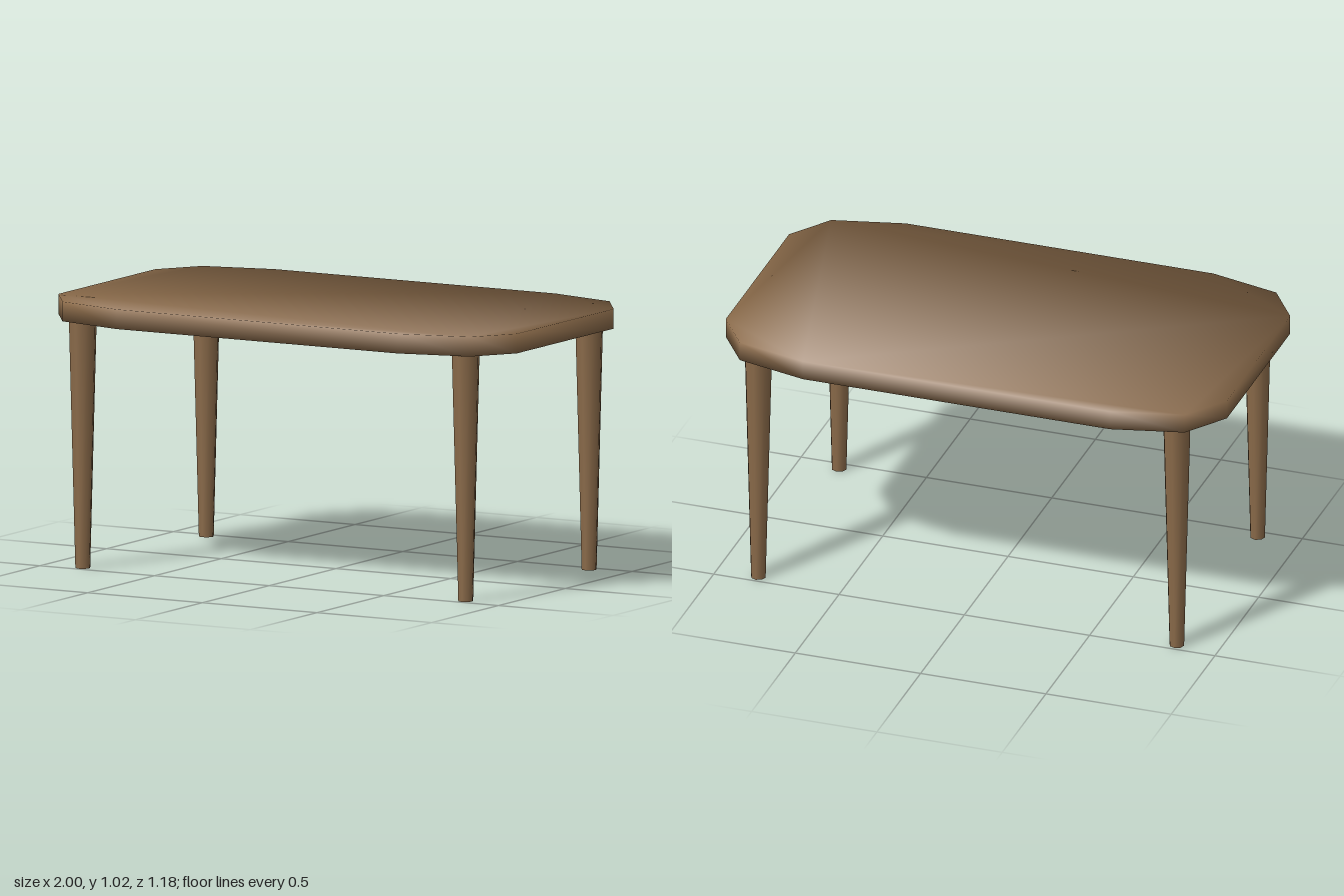
import * as THREE from 'three';
import { mergeVertices } from 'three/addons/utils/BufferGeometryUtils.js';

const LEG_HEIGHT = 0.943;
const TOP_THICKNESS = 0.075;

// Welds the corners and blends the face normals by corner angle, so shading rolls over the rim
function softShade(source) {
  source.deleteAttribute('uv');
  source.deleteAttribute('normal');
  const geo = mergeVertices(source, 1e-4);
  const pos = geo.attributes.position;
  const sums = Array.from({ length: pos.count }, () => new THREE.Vector3());
  const at = (i) => new THREE.Vector3().fromBufferAttribute(pos, i);
  for (let f = 0; f < geo.index.count; f += 3) {
    const ids = [0, 1, 2].map((k) => geo.index.getX(f + k));
    const pts = ids.map(at);
    const normal = new THREE.Triangle(...pts).getNormal(new THREE.Vector3());
    ids.forEach((id, k) => {
      const a = pts[(k + 1) % 3].clone().sub(pts[k]);
      const b = pts[(k + 2) % 3].clone().sub(pts[k]);
      sums[id].addScaledVector(normal, a.angleTo(b));
    });
  }
  const normals = sums.flatMap((n) => n.normalize().toArray());
  geo.setAttribute('normal', new THREE.Float32BufferAttribute(normals, 3));
  return geo;
}

export function createModel() {
  const group = new THREE.Group();
  group.name = 'table';
  const wood = new THREE.MeshStandardMaterial({ color: 0x8b6b4a });

  // Tabletop: one rounded corner, mirrored to all four
  const corner = [[1, 0.362], [0.888, 0.523], [0.613, 0.59]];
  const back = [...corner].reverse();
  const outline = [
    ...corner,
    ...back.map(([x, z]) => [-x, z]),
    ...corner.map(([x, z]) => [-x, -z]),
    ...back.map(([x, z]) => [x, -z]),
  ].map(([x, z]) => new THREE.Vector2(x, z));
  const slab = new THREE.ExtrudeGeometry(new THREE.Shape(outline), {
    depth: TOP_THICKNESS,
    bevelEnabled: false,
  });
  slab.rotateX(-Math.PI / 2);
  const top = new THREE.Mesh(softShade(slab), wood);
  top.name = 'tabletop';
  top.position.y = LEG_HEIGHT;
  group.add(top);

  // Four tapered legs
  const legGeo = new THREE.CylinderGeometry(0.054, 0.029, LEG_HEIGHT, 8);
  for (const [sx, side] of [[1, 'Left'], [-1, 'Right']]) {
    for (const [sz, end] of [[1, 'front'], [-1, 'back']]) {
      const leg = new THREE.Mesh(legGeo, wood);
      leg.name = `${end}${side}Leg`;
      leg.position.set(sx * 0.835, LEG_HEIGHT / 2, sz * 0.462);
      group.add(leg);
    }
  }
  return group;
}
